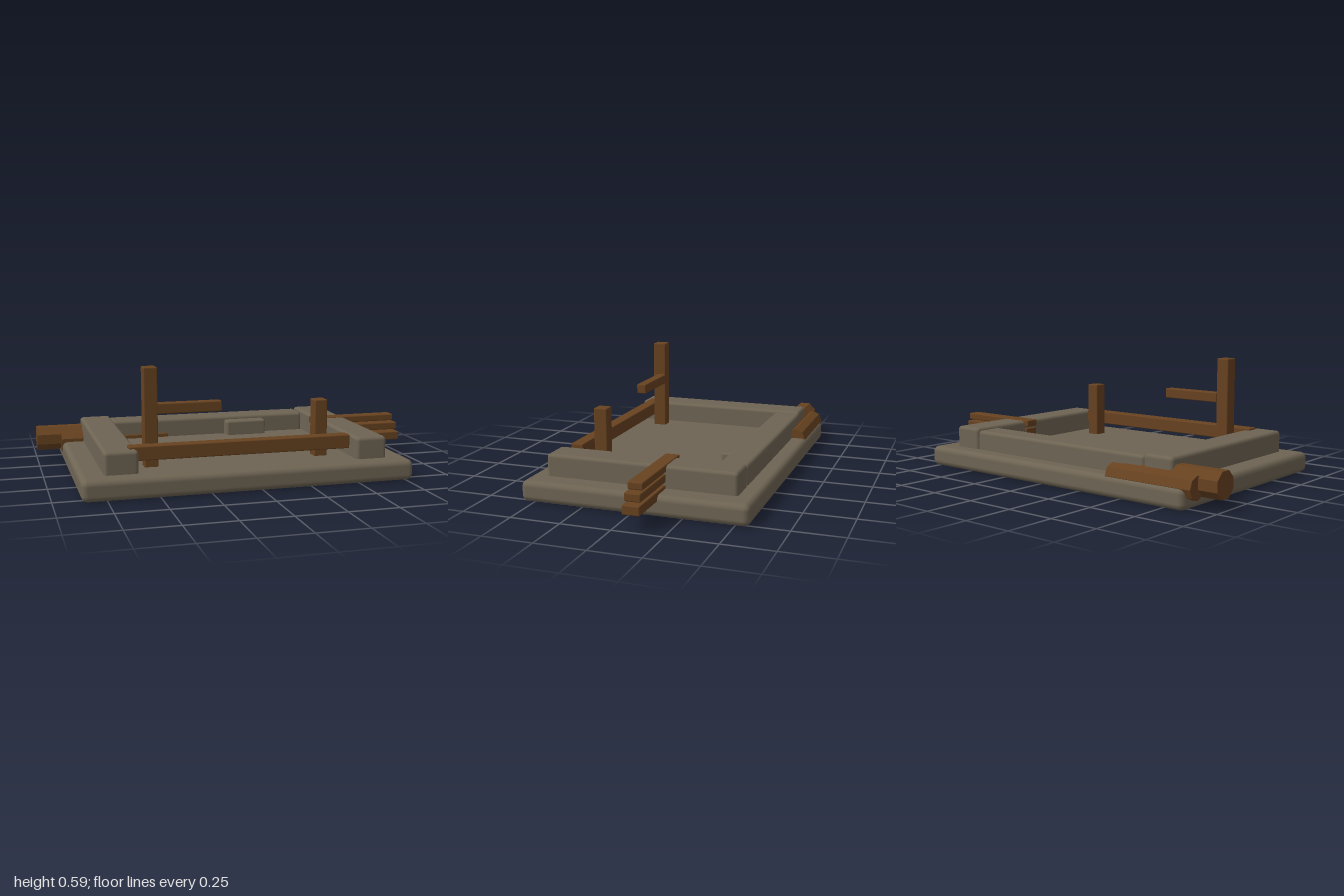
import * as THREE from 'three';
import { RoundedBoxGeometry } from 'three/addons/geometries/RoundedBoxGeometry.js';

export function createModel() {
  const model = new THREE.Group();
  model.name = 'ruinedFoundation';

  const stone = new THREE.MeshStandardMaterial({ color: 0x6e6453 });
  stone.name = 'weathered stone';
  const wood = new THREE.MeshStandardMaterial({ color: 0x674220 });
  wood.name = 'old wood';

  // Softened block given by its extents along each axis
  function block(name, material, [x0, x1], [y0, y1], [z0, z1], radius) {
    const geometry = new RoundedBoxGeometry(x1 - x0, y1 - y0, z1 - z0, 2, radius);
    const mesh = new THREE.Mesh(geometry, material);
    mesh.position.set((x0 + x1) / 2, (y0 + y1) / 2, (z0 + z1) / 2);
    mesh.name = name;
    model.add(mesh);
  }

  // Eight-sided faceted log lying along x; turn rotates its facets
  function log(name, x0, x1, y, z, radius, turn) {
    const geometry = new THREE.CylinderGeometry(radius, radius, x1 - x0, 8).toNonIndexed();
    geometry.rotateY(turn);
    geometry.rotateZ(Math.PI / 2);
    geometry.computeVertexNormals();
    const mesh = new THREE.Mesh(geometry, wood);
    mesh.position.set((x0 + x1) / 2, y, z);
    mesh.name = name;
    model.add(mesh);
  }

  // Stone slab and the low walls on three sides
  block('baseSlab', stone, [-0.87, 0.785], [0, 0.105], [-0.57, 0.565], 0.03);
  block('rightWall', stone, [-0.755, -0.59], [0.085, 0.215], [-0.485, 0.48], 0.018);
  block('leftWall', stone, [0.51, 0.67], [0.085, 0.215], [-0.485, 0.48], 0.018);
  block('backWall', stone, [-0.595, 0.51], [0.085, 0.205], [-0.485, -0.34], 0.018);
  block('looseStone', stone, [0.045, 0.272], [0.085, 0.185], [-0.355, -0.28], 0.012);

  // Broken timber frame along the front
  block('frontBeam', wood, [-0.63, 0.488], [0.155, 0.225], [0.373, 0.438], 0.006);
  block('tallPost', wood, [-0.543, -0.475], [0.1, 0.59], [0.293, 0.365], 0.006);
  block('shortPost', wood, [0.333, 0.4], [0.1, 0.394], [0.28, 0.35], 0.006);
  block('brokenRail', wood, [-0.478, -0.15], [0.358, 0.41], [0.288, 0.34], 0.006);

  // Stacked planks across the left wall
  block('lowerPlank', wood, [0.495, 0.995], [0.075, 0.121], [-0.135, -0.05], 0.006);
  block('middlePlank', wood, [0.495, 0.982], [0.134, 0.174], [-0.135, -0.056], 0.006);
  block('upperPlank', wood, [0.482, 0.962], [0.184, 0.22], [-0.138, -0.066], 0.006);

  // Log pile at the back corner
  log('middleLog', -1, -0.48, 0.117, -0.435, 0.068, Math.PI / 8);
  log('backLog', -0.9, -0.425, 0.1, -0.502, 0.057, 0);
  log('frontLog', -0.872, -0.285, 0.1, -0.387, 0.057, Math.PI / 8);

  return model;
}
